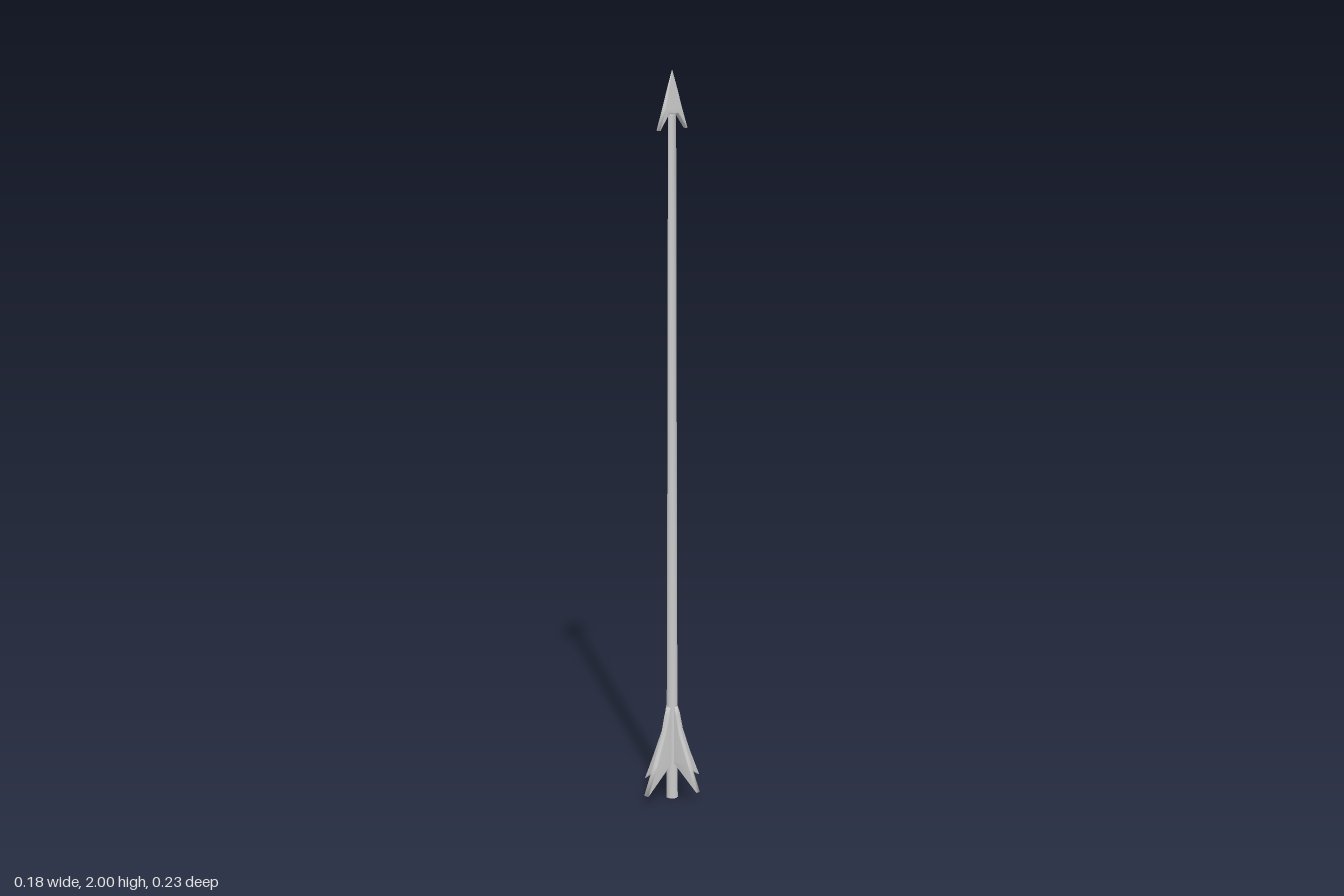
import * as THREE from 'three';
import { mergeVertices } from 'three/addons/utils/BufferGeometryUtils.js';

const material = new THREE.MeshStandardMaterial({ color: 0xcccccc });

// Softly shaded plate with chamfered rims, cut from an outline of [x, y] points
function plate(points, thickness) {
  const shape = new THREE.Shape(points.map(([x, y]) => new THREE.Vector2(x, y)));
  const bevel = 0.002;
  const geometry = new THREE.ExtrudeGeometry(shape, {
    depth: thickness - 2 * bevel, bevelThickness: bevel, bevelSize: bevel,
    bevelOffset: -bevel, bevelSegments: 1,
  }).translate(0, 0, bevel - thickness / 2);
  geometry.deleteAttribute('normal');
  geometry.deleteAttribute('uv');
  const merged = mergeVertices(geometry);
  merged.computeVertexNormals();
  return merged;
}

function addMesh(parent, name, geometry) {
  const mesh = new THREE.Mesh(geometry, material);
  mesh.name = name;
  parent.add(mesh);
  return mesh;
}

export function createModel() {
  const group = new THREE.Group();
  group.name = 'arrow';

  // Shaft: constant depth, thinning sideways towards the head
  const shaft = new THREE.CylinderGeometry(0.016, 0.016, 1.92, 12, 6).translate(0, 0.96, 0);
  const p = shaft.attributes.position;
  for (let i = 0; i < p.count; i++) {
    p.setX(i, p.getX(i) * THREE.MathUtils.lerp(1, 0.32, p.getY(i) / 1.92));
  }
  addMesh(group, 'shaft', shaft);

  // Barbed head: flat blade across z, tapering to the tip
  const head = plate([
    [0, 2], [-0.019, 1.95], [-0.036, 1.9], [-0.057, 1.845], [-0.018, 1.886],
    [0.018, 1.886], [0.057, 1.845], [0.036, 1.9], [0.019, 1.95],
  ], 0.014);
  const h = head.attributes.position;
  for (let i = 0; i < h.count; i++) {
    h.setZ(i, h.getZ(i) * Math.min(1, (2 - h.getY(i)) / 0.12 + 0.05));
  }
  head.computeVertexNormals();
  addMesh(group, 'head', head.rotateY(Math.PI / 2));

  // Four swept fins; the front and back pair is wider
  for (let i = 0; i < 4; i++) {
    const wide = i % 2;
    const reach = wide ? 0.113 : 0.092;
    const fin = plate([
      [0, 0.265], [0.016, 0.265], [wide ? 0.026 : 0.02, 0.242], [wide ? 0.04 : 0.031, 0.19],
      [reach * 0.66, 0.112], [reach, 0.034], [0.028, 0.088], [0.014, 0.1], [0, 0.1],
    ], 0.016);
    addMesh(group, 'fin' + (i + 1), fin).rotation.y = i * Math.PI / 2;
  }
  return group;
}
